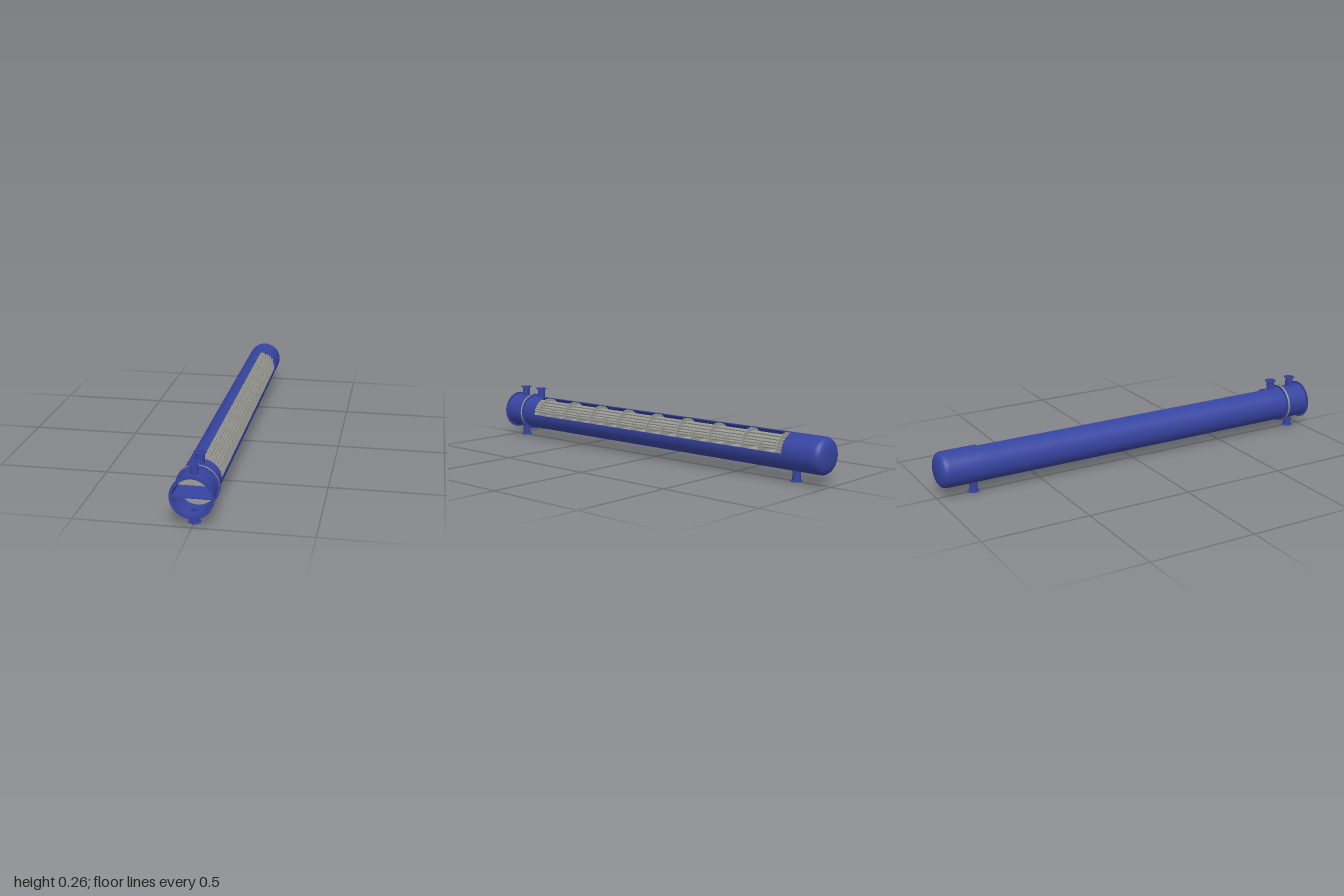
import * as THREE from 'three';
import { mergeGeometries } from 'three/addons/utils/BufferGeometryUtils.js';

const AXIS = 0.13, R = 0.083, RI = 0.08, PI = Math.PI;
const BORE = 0.0155, PIPE = 0.0185, PATCH = 0.025;

// Thick wall piece: a box whose (u, v) plane is wrapped round the z axis.
// map(u, v) gives [angle from the top towards +x, z].
function wall(nu, nv, map) {
  const g = new THREE.BoxGeometry(1, 1, 1, nu, 1, nv);
  const p = g.attributes.position, n = g.attributes.normal;
  const sides = Array.from(n.array);
  const angles = [];
  for (let i = 0; i < p.count; i++) {
    const [a, z] = map(p.getX(i) + 0.5, p.getZ(i) + 0.5);
    const r = p.getY(i) > 0 ? R : RI;
    angles.push(a);
    p.setXYZ(i, r * Math.sin(a), r * Math.cos(a), z);
  }
  g.computeVertexNormals();
  for (let i = 0; i < p.count; i++) {
    const s = sides[i * 3 + 1];
    if (s) n.setXYZ(i, s * Math.sin(angles[i]), s * Math.cos(angles[i]), 0);
  }
  return g;
}

function panel(a0, a1, z0, z1) {
  return wall(Math.ceil((a1 - a0) * 12), 1, (u, v) => [a0 + (a1 - a0) * u, z0 + (z1 - z0) * v]);
}

// Square wall patch with a round bore
function boredPatch(a, z) {
  return wall(48, 4, (u, v) => {
    const c = Math.cos(-2 * PI * u), s = Math.sin(-2 * PI * u);
    const edge = PATCH / Math.max(Math.abs(c), Math.abs(s));
    const r = BORE + (edge - BORE) * v;
    return [a + r * c / R, z + r * s];
  });
}

// Full ring of wall around nozzle bores at the given angles
function boredBand(z, angles) {
  const half = PATCH / R, out = [];
  angles.forEach((a, i) => {
    const next = i + 1 < angles.length ? angles[i + 1] : angles[0] + 2 * PI;
    out.push(boredPatch(a, z), panel(a + half, next - half, z - PATCH, z + PATCH));
  });
  return out;
}

// Flat disc shape with any number of round holes [x, y, r]
function plate(radius, holes, depth) {
  const shape = new THREE.Shape().absarc(0, 0, radius, 0, 2 * PI, false);
  for (const [x, y, r] of holes) shape.holes.push(new THREE.Path().absarc(x, y, r, 0, 2 * PI, true));
  return new THREE.ExtrudeGeometry(shape, { depth, bevelEnabled: false, curveSegments: radius > 0.05 ? 32 : 16 });
}

function boltCircle(count, radius, r) {
  return Array.from({ length: count }, (_, i) => {
    const a = (i + 0.5) * 2 * PI / count;
    return [radius * Math.cos(a), radius * Math.sin(a), r];
  });
}

export function createModel() {
  const model = new THREE.Group();
  const body = new THREE.Group();
  body.position.y = AXIS;
  model.add(body);
  const blue = new THREE.MeshStandardMaterial({ color: 0x3644a0, side: THREE.DoubleSide });
  const grey = new THREE.MeshStandardMaterial({ color: 0x999993, side: THREE.DoubleSide });
  const add = (name, geometry, material, z = 0) => {
    const mesh = new THREE.Mesh(geometry, material);
    mesh.name = name;
    mesh.position.z = z;
    body.add(mesh);
    return mesh;
  };

  // Main shell with a quarter cut away between its ends
  add('shell', mergeGeometries([
    panel(0, 2 * PI, -0.955, -0.85),
    ...boredBand(-0.825, [PI]),
    panel(PI / 2, 2 * PI, -0.8, 0.785),
    panel(0, 2 * PI, 0.785, 0.795),
    ...boredBand(0.82, [0]),
    panel(0, 2 * PI, 0.845, 0.872),
  ]), blue);

  // Dished rear end
  const dish = [];
  for (let i = 0; i <= 16; i++) {
    const t = i / 16 * PI / 2;
    dish.push(new THREE.Vector2(R * Math.pow(Math.abs(Math.cos(t)), 0.75) * (i < 16 ? 1 : 0), 0.045 * Math.pow(Math.sin(t), 0.75)));
  }
  add('rearHead', new THREE.LatheGeometry(dish, 64).rotateX(-PI / 2), blue, -0.955);

  // Open front channel
  add('frontChannel', mergeGeometries([
    panel(0, 2 * PI, 0.882, 0.915),
    ...boredBand(0.94, [0, PI]),
    panel(0, 2 * PI, 0.965, 1),
  ]), blue);
  add('passPartition', new THREE.BoxGeometry(2 * RI, 0.005, 0.118), blue, 0.941);

  // Bolted flanges
  const bolts = boltCircle(16, 0.0883, 0.0018);
  const flange = plate(0.093, [[0, 0, RI], ...bolts], 0.004);
  add('frontFlange', flange, blue, 0.996);
  add('channelFlange', flange, blue, 0.882);
  add('shellFlange', flange, blue, 0.868);

  // Tube layout: rows of [height, number of tubes]
  const pitch = 0.0113, tubeR = 0.0046;
  const rows = [[0.015, 11], [0.0263, 11], [0.0376, 9], [0.0489, 7], [0.0602, 3],
    [-0.0125, 11], [-0.0238, 9], [-0.0351, 9], [-0.0464, 7], [-0.0577, 3]];
  const spots = [];
  for (const [y, count] of rows) {
    for (let i = 0; i < count; i++) spots.push([(i - (count - 1) / 2) * pitch, y, tubeR]);
  }
  add('tubeSheet', plate(0.0925, [...spots, ...bolts], 0.01), grey, 0.872);
  const z0 = -0.86, z1 = 0.874;
  add('tubeBundle', mergeGeometries(spots.map(([x, y]) =>
    new THREE.CylinderGeometry(tubeR, tubeR, z1 - z0, 14, 1, true)
      .rotateX(PI / 2).translate(x, y, (z0 + z1) / 2))), grey);

  // Segmental baffles, cut alternately at the bottom and the top
  const cut = Math.asin(0.5);
  const segment = new THREE.Shape().absarc(0, 0, 0.0795, -cut, PI + cut, false);
  segment.closePath();
  const baffle = new THREE.ExtrudeGeometry(segment, { depth: 0.004, bevelEnabled: false, curveSegments: 48 });
  baffle.translate(0, 0, -0.002);
  for (let i = 0; i < 17; i++) {
    const mesh = add('baffle', baffle, grey, 0.76 - i * 0.0955);
    if (i % 2) mesh.rotation.z = PI;
  }

  // Flanged nozzles
  const pipe = new THREE.LatheGeometry([[BORE, 0.08], [BORE, 0.129], [PIPE, 0.129], [PIPE, 0.08]]
    .map(([x, y]) => new THREE.Vector2(x, y)), 32).toNonIndexed();
  pipe.deleteAttribute('normal');
  const walls = [[BORE, 0.08], [PIPE, 0.08]].map(([r, y]) =>
    new THREE.CylinderGeometry(r, r, 0.129 - y, 32, 1, true).translate(0, (0.129 + y) / 2, 0));
  const nozzleGeometry = mergeGeometries(walls);
  const ring = plate(0.027, [[0, 0, BORE], ...boltCircle(8, 0.0228, 0.0016)], 0.004)
    .rotateX(-PI / 2).translate(0, 0.126, 0);
  const nozzle = (name, z, down) => {
    const group = new THREE.Group();
    group.name = name;
    group.position.z = z;
    if (down) group.rotation.z = PI;
    group.add(new THREE.Mesh(nozzleGeometry, blue), new THREE.Mesh(ring, blue));
    group.children[0].name = 'nozzlePipe';
    group.children[1].name = 'nozzleFlange';
    body.add(group);
  };
  nozzle('channelTopNozzle', 0.94, false);
  nozzle('channelBottomNozzle', 0.94, true);
  nozzle('shellTopNozzle', 0.82, false);
  nozzle('shellBottomNozzle', -0.825, true);

  return model;
}
